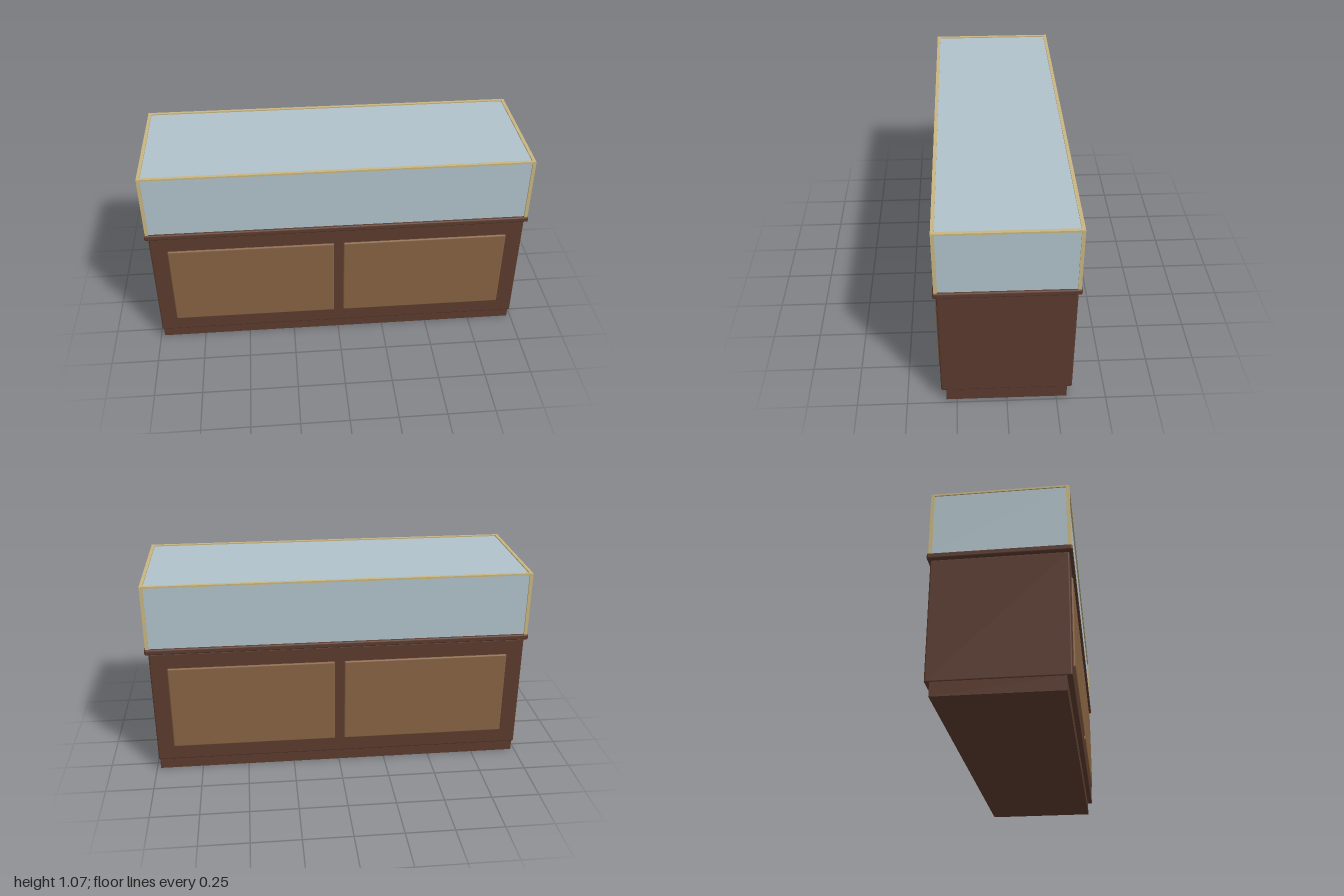
import * as THREE from 'three';
import { RoundedBoxGeometry } from 'three/addons/geometries/RoundedBoxGeometry.js';

const material = (name, color) => {
  const m = new THREE.MeshStandardMaterial({ color });
  m.name = name;
  return m;
};

export function createModel() {
  const darkWood = material('dark wood', 0x5a3a2d);
  const panelWood = material('panel wood', 0x866242);
  const brass = material('brass', 0xc8b580);
  const glass = material('glass', 0xb0c2ca);

  const model = new THREE.Group();
  model.name = 'displayCounter';

  // Box spanning the given ranges, with softened edges when a radius is given
  function block(name, mat, [x0, x1], [y0, y1], [z0, z1], radius = 0, parent = model) {
    const size = [x1 - x0, y1 - y0, z1 - z0];
    const geometry = radius
      ? new RoundedBoxGeometry(...size, 2, radius)
      : new THREE.BoxGeometry(...size);
    const mesh = new THREE.Mesh(geometry, mat);
    mesh.name = name;
    mesh.position.set((x0 + x1) / 2, (y0 + y1) / 2, (z0 + z1) / 2);
    parent.add(mesh);
  }

  // Cabinet: recessed plinth, body and overhanging top
  block('plinth', darkWood, [-0.98, 0.98], [0, 0.072], [-0.303, 0.303]);
  block('cabinetBody', darkWood, [-0.983, 0.983], [0.069, 0.7], [-0.328, 0.328], 0.008);
  block('counterTop', darkWood, [-1, 1], [0.7, 0.73], [-0.343, 0.343], 0.008);

  // Two raised panels on the front and two on the back
  for (const z of [-1, 1]) {
    for (const x of [-1, 1]) {
      const panel = new THREE.Group();
      panel.name = (z > 0 ? 'front' : 'back') + (x > 0 ? 'Left' : 'Right') + 'Panel';
      panel.position.set(x * 0.46, 0.3825, z * 0.326);
      block('panelBoard', panelWood, [-0.435, 0.435], [-0.2325, 0.2325], [-0.011, 0.011], 0.008, panel);
      model.add(panel);
    }
  }

  // Glass case
  block('glassCase', glass, [-0.988, 0.988], [0.728, 1.064], [-0.329, 0.329]);

  // Brass frame: corner posts and top rails
  const frame = new THREE.Group();
  frame.name = 'brassFrame';
  model.add(frame);
  const X = 0.994, Z = 0.337, W = 0.017, TOP = 1.07;
  const edge = (outer, s) => (s > 0 ? [outer - W, outer] : [-outer, W - outer]);
  for (const s of [-1, 1]) {
    for (const t of [-1, 1]) {
      block('cornerPost', brass, edge(X, s), [0.728, TOP], edge(Z, t), 0, frame);
    }
    block('longTopRail', brass, [W - X, X - W], [TOP - 0.009, TOP], edge(Z, s), 0, frame);
    block('shortTopRail', brass, edge(X, s), [TOP - 0.009, TOP], [W - Z, Z - W], 0, frame);
  }

  return model;
}
